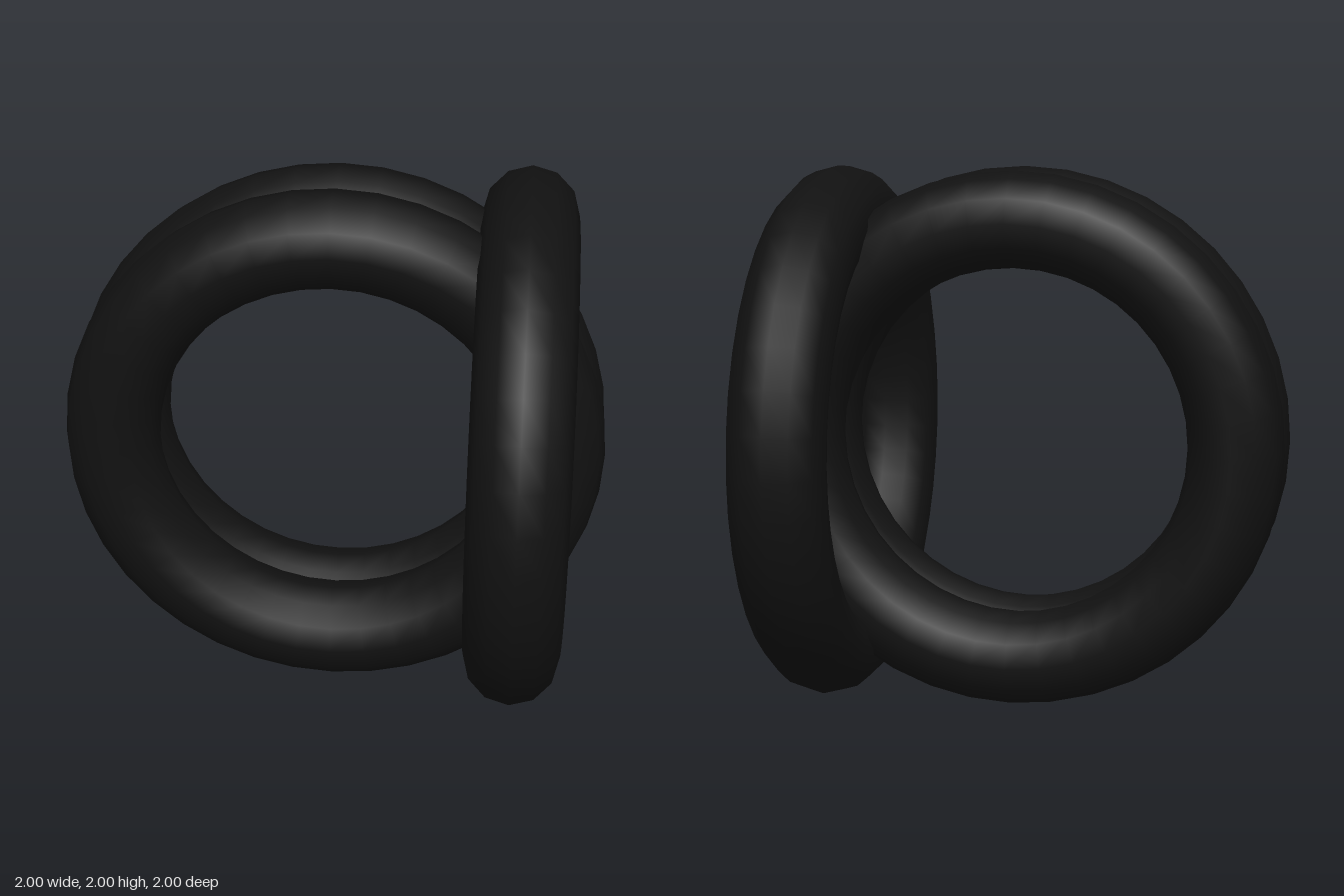
import * as THREE from 'three';

export function createModel() {
  const model = new THREE.Group();
  model.name = 'interlockedRings';
  const material = new THREE.MeshStandardMaterial({ color: 0x111111 });

  // Every ring shares one torus: outer radius 1, smooth 12-sided tube
  const tube = 0.177;
  const geometry = new THREE.TorusGeometry(1 - tube, tube, 12, 40);

  function addRing(name, x, z, turn = 0) {
    const ring = new THREE.Mesh(geometry, material);
    ring.name = name;
    ring.position.set(x, 1, z);
    ring.rotation.y = turn;
    model.add(ring);
  }

  // Overlapping pair facing the front
  addRing('frontRing', 0, 0.118);
  addRing('backRing', 0, -0.118);

  // Single ring crossing the pair, facing sideways
  addRing('crossRing', 0.69, 0, Math.PI / 2);

  return model;
}
